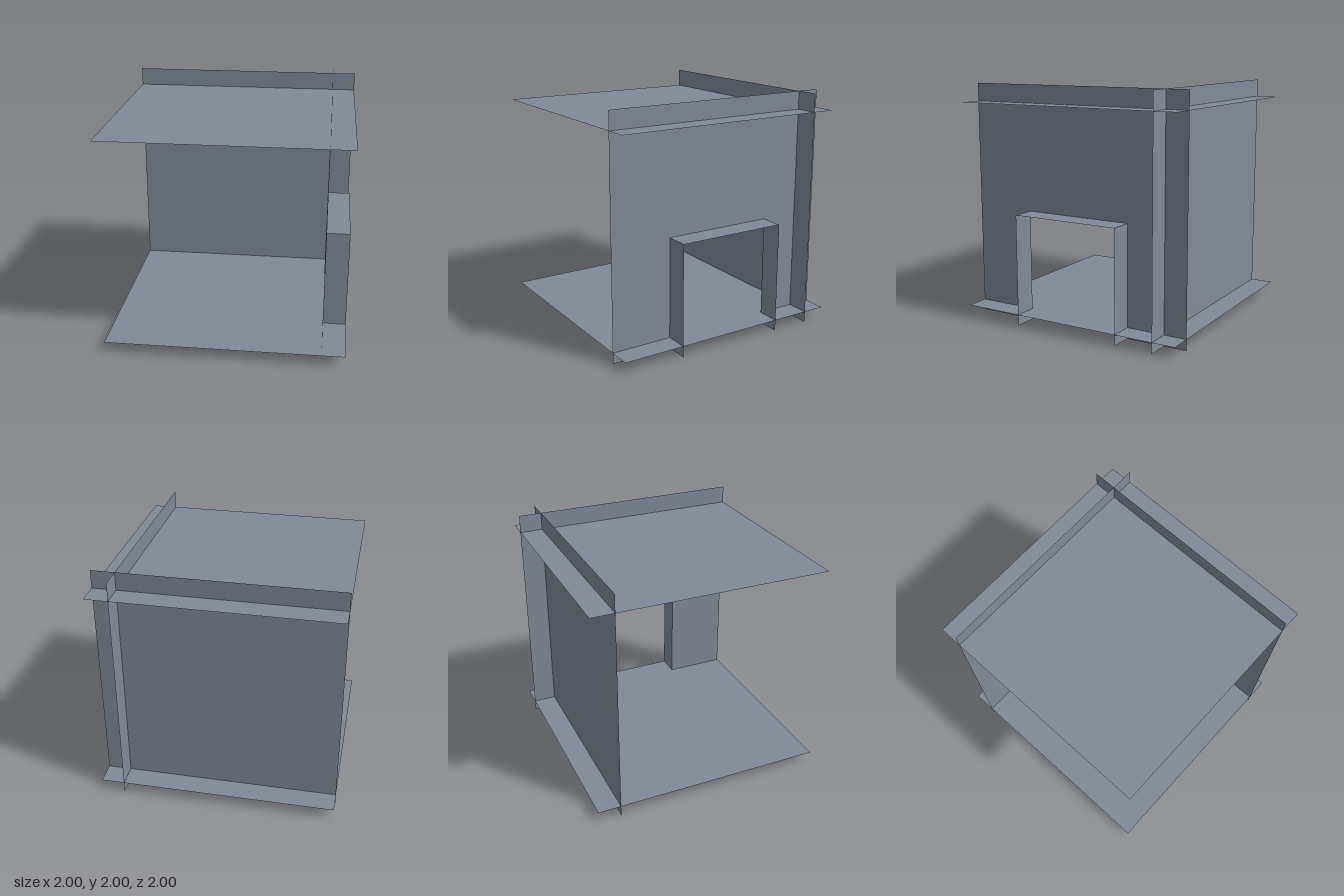
import * as THREE from 'three';

const WALL_X = 0.802, WALL_Z = -0.804;
const FLOOR_Y = 0.093, CEILING_Y = 1.847;
const DOOR_HALF = 0.472, DOOR_TOP = 0.945;

export function createModel() {
  const group = new THREE.Group();
  const slate = new THREE.MeshStandardMaterial({ color: 0x808b98, side: THREE.DoubleSide });
  slate.name = 'slate grey';

  function add(name, geometry, x, y, z) {
    const mesh = new THREE.Mesh(geometry, slate);
    mesh.name = name;
    mesh.position.set(x, y, z);
    group.add(mesh);
    return mesh;
  }

  // Horizontal sheets
  const level = (w, d) => new THREE.PlaneGeometry(w, d).rotateX(-Math.PI / 2);
  add('floor', level(2, 2), 0, FLOOR_Y, 0);
  add('ceiling', level(2, 2), 0, CEILING_Y, 0);

  // Back wall
  add('backWall', new THREE.PlaneGeometry(2, 2), 0, 1, WALL_Z);

  // Side wall with a doorway open at the bottom
  const outline = new THREE.Shape([
    [-1, 0], [-DOOR_HALF, 0], [-DOOR_HALF, DOOR_TOP], [DOOR_HALF, DOOR_TOP],
    [DOOR_HALF, 0], [1, 0], [1, 2], [-1, 2],
  ].map(([x, y]) => new THREE.Vector2(x, y)));
  add('doorWall', new THREE.ShapeGeometry(outline).rotateY(Math.PI / 2), WALL_X, 0, 0);

  // Doorway lining, reaching outward from the wall
  const depth = 1 - WALL_X, midX = (1 + WALL_X) / 2;
  add('doorHead', level(depth, DOOR_HALF * 2), midX, DOOR_TOP, 0);
  for (const side of [-1, 1]) {
    add(side > 0 ? 'frontDoorJamb' : 'backDoorJamb',
      new THREE.PlaneGeometry(depth, DOOR_TOP), midX, DOOR_TOP / 2, side * DOOR_HALF);
  }

  return group;
}
